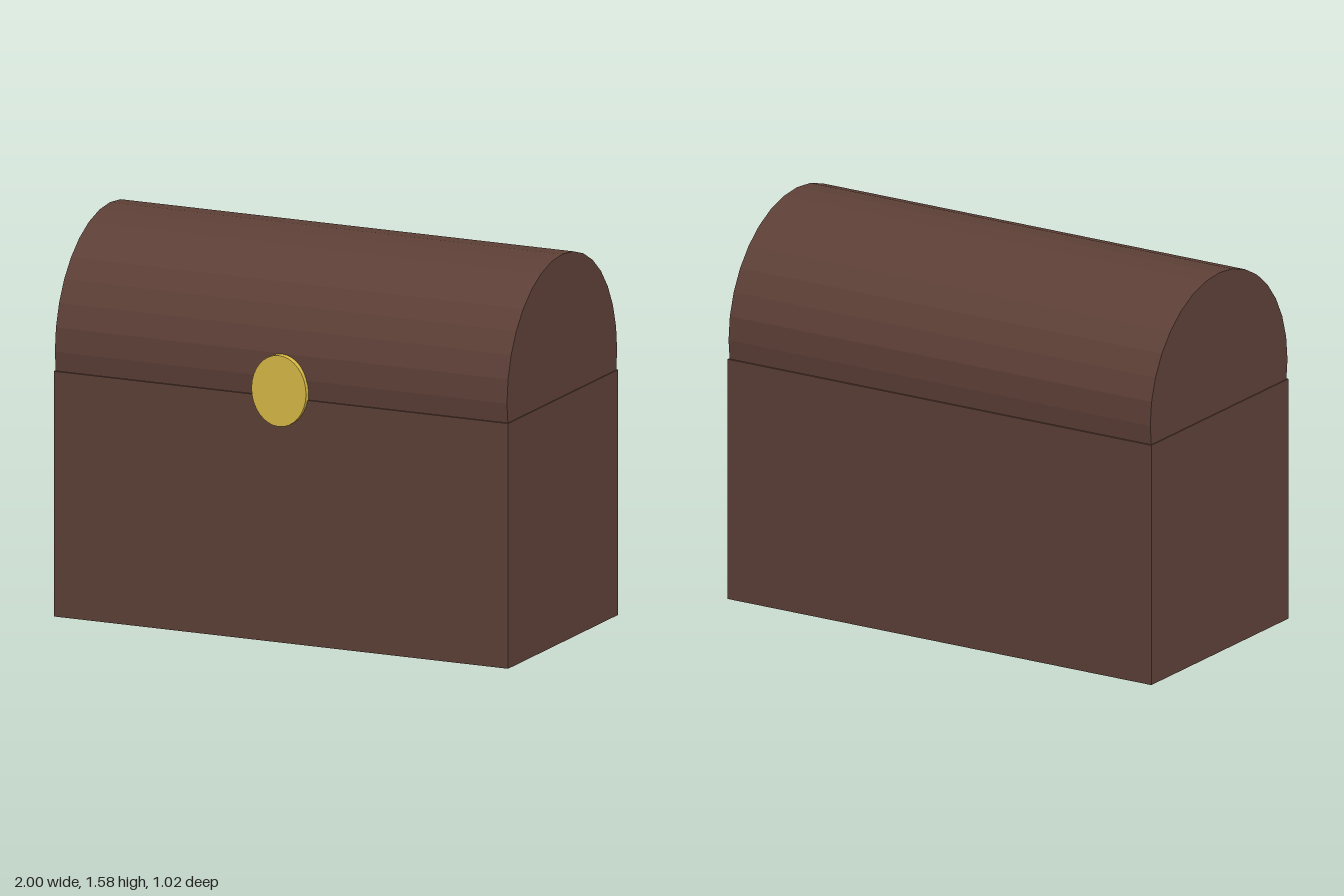
import * as THREE from 'three';

const wood = new THREE.MeshStandardMaterial({ color: 0x5d4037 });
wood.name = 'darkWood';
const brass = new THREE.MeshStandardMaterial({ color: 0xd8b945 });
brass.name = 'brass';

const CENTER_Z = -0.01; // the clasp in front shifts the chest slightly back

function addPart(group, name, geometry, material, x, y, z) {
  const mesh = new THREE.Mesh(geometry, material);
  mesh.name = name;
  mesh.position.set(x, y, z);
  group.add(mesh);
}

// Gives every facet its own flat normal
function faceted(geometry) {
  const flat = geometry.toNonIndexed();
  flat.computeVertexNormals();
  return flat;
}

export function createModel() {
  const chest = new THREE.Group();
  chest.name = 'chest';

  // Box-shaped body
  addPart(chest, 'body', new THREE.BoxGeometry(2, 1, 1), wood, 0, 0.5, CENTER_Z);

  // Barrel lid lying along x, its lower half sunk into the body
  const lid = new THREE.CylinderGeometry(0.5, 0.5, 1.99, 32).rotateZ(Math.PI / 2);
  addPart(chest, 'lid', faceted(lid), wood, 0, 1.08, CENTER_Z);

  // Oval clasp over the seam
  const clasp = new THREE.CylinderGeometry(1, 1, 0.05, 32)
    .rotateX(Math.PI / 2)
    .scale(0.12, 0.145, 1);
  addPart(chest, 'clasp', faceted(clasp), brass, 0, 1.03, 0.485);

  return chest;
}
